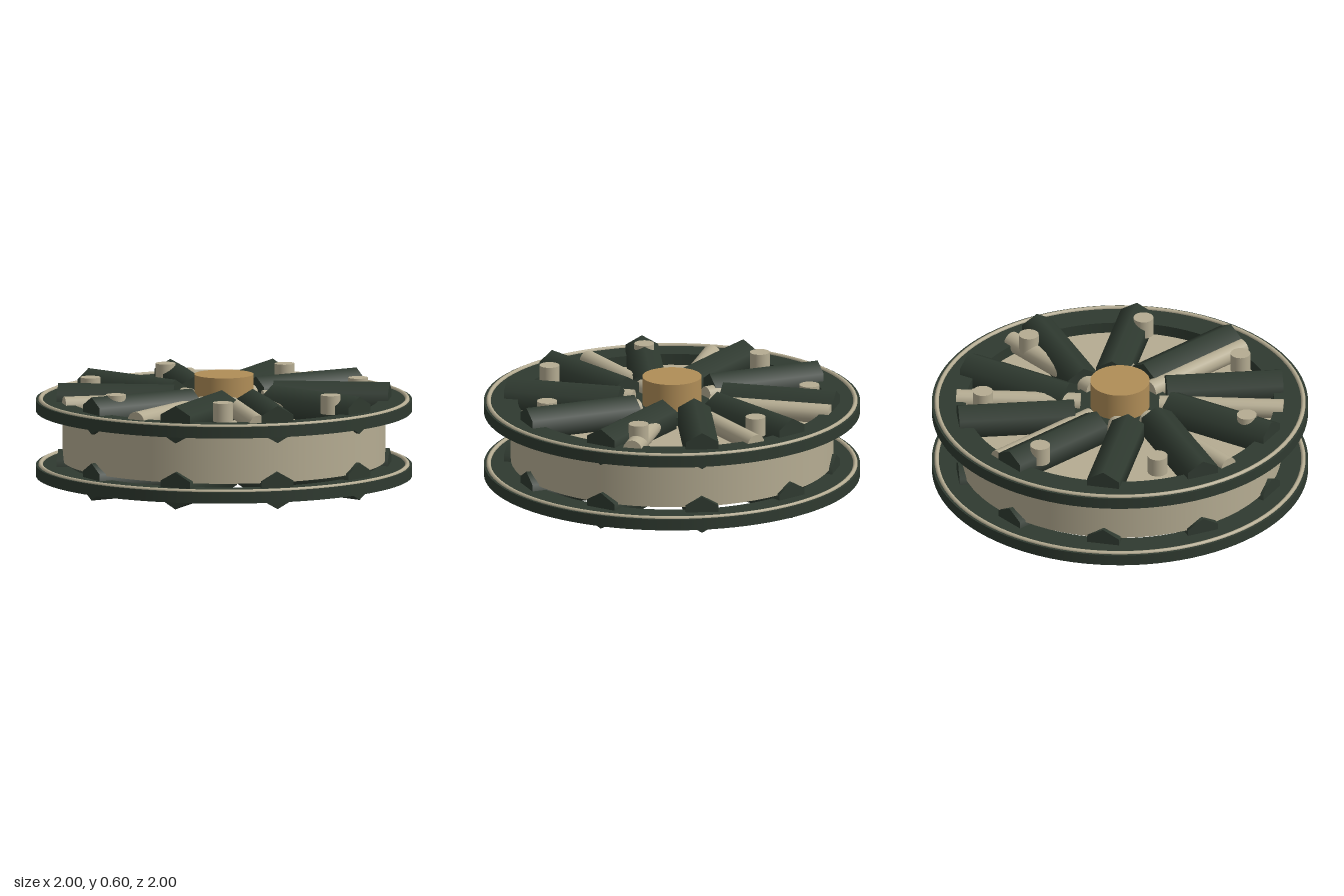
import * as THREE from 'three';

const material = (name, color) => Object.assign(new THREE.MeshStandardMaterial({ color }), { name });

export function createModel() {
  const model = new THREE.Group();
  model.name = 'spokedWheel';
  const dark = material('dark green', 0x2f3a30);
  const cream = material('cream', 0xb5ac92);
  const brass = material('brass', 0xb08d57);

  function add(name, geometry, mat, y, angle = 0) {
    const mesh = new THREE.Mesh(geometry, mat);
    mesh.name = name;
    mesh.position.y = y;
    mesh.rotation.y = angle;
    model.add(mesh);
  }

  // upright cylinder spanning y0..y1
  function post(name, radius, y0, y1, mat) {
    add(name, new THREE.CylinderGeometry(radius, radius, y1 - y0, 64), mat, (y0 + y1) / 2);
  }

  // bar lying along z from r0 to r1, shifted sideways
  function bar(radius, sides, r0, r1, shift) {
    return new THREE.CylinderGeometry(radius, radius, r1 - r0, sides)
      .rotateX(-Math.PI / 2)
      .translate(shift, 0, (r0 + r1) / 2);
  }

  // drum and hub
  post('drum', 0.858, 0.14, 0.405, cream);
  post('hub', 0.265, 0.06, 0.45, dark);
  post('hubCap', 0.158, 0.44, 0.6, brass);

  // flat ring with a square section
  const section = [[0.82, 0], [1, 0], [1, 0.06], [0.82, 0.06], [0.82, 0]];
  const rimPoints = [];
  for (let i = 0; i < 4; i++) {
    // doubled corners keep the edges sharp
    rimPoints.push(new THREE.Vector2(...section[i]), new THREE.Vector2(...section[i + 1]));
  }
  const rim = new THREE.LatheGeometry(rimPoints, 96).toNonIndexed();
  // flat normals across the section, smooth around the ring
  const p = rim.attributes.position, n = rim.attributes.normal;
  for (let t = 0; t < p.count; t += 3) {
    const radii = [0, 1, 2].map((k) => Math.hypot(p.getX(t + k), p.getZ(t + k)));
    const wall = Math.max(...radii) - Math.min(...radii) < 0.01;
    for (let k = t; k < t + 3; k++) {
      const r = radii[k - t], s = r > 0.9 ? 1 : -1;
      if (wall) n.setXYZ(k, s * p.getX(k) / r, 0, s * p.getZ(k) / r);
      else n.setXYZ(k, 0, p.getY(k) > 0.03 ? 1 : -1, 0);
    }
  }
  const trim = new THREE.TorusGeometry(0.975, 0.012, 8, 96).rotateX(Math.PI / 2);
  const spoke = bar(0.1, 6, 0.255, 0.875, 0.1);

  // rims, trim rings and hexagonal spokes on both faces
  for (const [side, rimY, spokeY] of [['lower', 0.055, 0.1], ['upper', 0.405, 0.455]]) {
    add(side + 'Rim', rim, dark, rimY);
    add(side + 'Trim', trim, cream, rimY + 0.06);
    for (let i = 0; i < 10; i++) add(side + 'Spoke', spoke, dark, spokeY, i * Math.PI / 5);
  }

  // slim rods between the upper spokes
  const rod = bar(0.052, 16, 0.21, 0.87, 0);
  for (let i = 0; i < 8; i++) add('rod', rod, cream, 0.455, i * Math.PI / 4);

  // seven pins around the upper face
  const pin = new THREE.CylinderGeometry(0.053, 0.053, 0.1, 24).translate(0.73, 0, 0);
  for (let i = 0; i < 7; i++) add('pin', pin, cream, 0.508, i * Math.PI * 2 / 7);

  return model;
}
